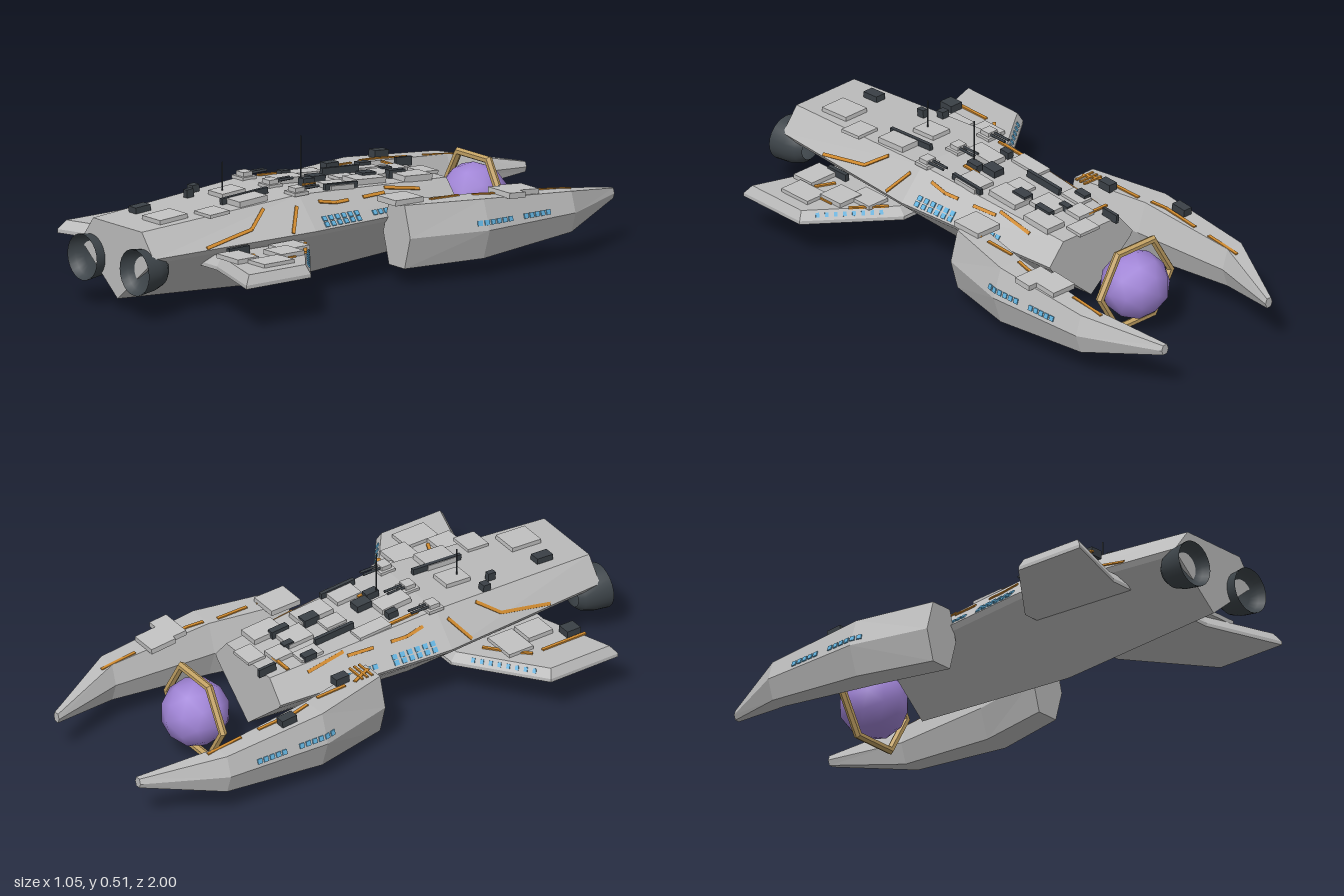
import * as THREE from 'three';

const mat = (name, color) => Object.assign(new THREE.MeshStandardMaterial({ color }), { name });
const V = (x, y, z) => new THREE.Vector3(x, y, z);

// Flat-shaded loft through rings of points, capped at both ends
function loft(rings, flip) {
  const pos = [];
  const tri = (a, b, c) => { for (const p of flip ? [a, c, b] : [a, b, c]) pos.push(flip ? -p.x : p.x, p.y, p.z); };
  const n = rings[0].length;
  rings.forEach((r, k) => {
    const next = rings[k + 1];
    const mid = r.reduce((s, p) => s.add(p), V(0, 0, 0)).divideScalar(n);
    for (let i = 0; i < n; i++) {
      const j = (i + 1) % n;
      if (next) { tri(r[i], next[i], next[j]); tri(r[i], next[j], r[j]); }
      if (k === 0) tri(mid, r[i], r[j]);
      if (!next) tri(mid, r[j], r[i]);
    }
  });
  const g = new THREE.BufferGeometry();
  g.setAttribute('position', new THREE.Float32BufferAttribute(pos, 3));
  g.computeVertexNormals();
  return g;
}

// Point and normal on strip i of a loft: u is the ring coordinate, t runs across the strip
function on(rings, i, u, t, s = 1) {
  const k = Math.max(0, Math.min(rings.length - 2, Math.floor(u))), f = u - k;
  const j = (i + 1) % rings[0].length;
  const a = rings[k][i].clone().lerp(rings[k + 1][i], f);
  const b = rings[k][j].clone().lerp(rings[k + 1][j], f);
  const along = rings[k + 1][i].clone().sub(rings[k][i]);
  const n = along.cross(b.clone().sub(a)).normalize();
  const p = a.lerp(b, t);
  p.x *= s; n.x *= s;
  return { p, n };
}
// Ring coordinate for a given z
function ringAt(rings, z) {
  for (let k = 0; k < rings.length - 1; k++) {
    const a = rings[k][0].z, b = rings[k + 1][0].z;
    if (z >= b || k === rings.length - 2) return k + (a - z) / (a - b);
  }
}

export function createModel() {
  const hullGrey = mat('hullGrey', 0xbcbcbc), plateGrey = mat('plateGrey', 0xc2c2c2);
  const dark = mat('darkMetal', 0x3a4046), orange = mat('orangePaint', 0xd08a2e);
  const blue = mat('windowBlue', 0x62b2de), gold = mat('ringGold', 0xc3a264);
  const purple = mat('orbPurple', 0xa084d6);
  const nozzleMat = mat('nozzleMetal', 0x3d4449);
  nozzleMat.side = THREE.DoubleSide;

  const model = new THREE.Group();
  const add = (name, geo, m, x = 0, y = 0, z = 0) => {
    const mesh = new THREE.Mesh(geo, m);
    mesh.name = name;
    mesh.position.set(x, y, z);
    model.add(mesh);
    return mesh;
  };
  // Box lying on a surface from a to b, with the surface normal n
  const slab = (name, a, b, n, w, h, m) => {
    const dir = b.clone().sub(a), len = dir.length();
    dir.normalize();
    const side = n.clone().cross(dir).normalize(), up = dir.clone().cross(side);
    const mesh = add(name, new THREE.BoxGeometry(w, h, len), m);
    mesh.quaternion.setFromRotationMatrix(new THREE.Matrix4().makeBasis(side, up, dir));
    mesh.position.copy(a).add(b).multiplyScalar(0.5).addScaledVector(up, h * 0.4);
    return mesh;
  };
  // Painted line over [z, t] points on a strip
  const stripe = (rings, i, pts, s) => {
    for (let k = 0; k + 1 < pts.length; k++) {
      const [a, b] = [pts[k], pts[k + 1]].map(([z, t]) => on(rings, i, ringAt(rings, z), t, s));
      slab('stripe', a.p, b.p, a.n, 0.012, 0.005, orange);
    }
  };
  // Row of small windows on a strip
  const windows = (rings, i, z0, z1, t, s, count = 6) => {
    for (let k = 0; k < count; k++) {
      const z = z0 + (z1 - z0) * k / (count - 1);
      const [a, b] = [z + 0.009, z - 0.009].map(q => on(rings, i, ringAt(rings, q), t, s));
      slab('window', a.p, b.p, a.n, 0.018, 0.005, blue);
    }
  };
  // Box at x, z on the top strip
  const topBox = (name, rings, i, [x, z, w, d], h, m) => {
    const [a, b] = [z - d / 2, z + d / 2].map(q => on(rings, i, ringAt(rings, q), 0.5));
    a.p.x = b.p.x = x;
    return slab(name, a.p, b.p, a.n, w, h, m);
  };

  // Hull
  const hull = [
    [0.96, 0.2, 0.135, 0.22, 0.305, 0.045],
    [0.3, 0.262, 0.165, 0.233, 0.345, 0.003],
    [-0.37, 0.195, 0.13, 0.222, 0.3, 0.045],
  ].map(([z, w, t, sh, top, bot]) => [
    V(0, bot, z), V(w - 0.012, sh - 0.018, z), V(w, sh, z), V(t, top, z),
    V(-t, top, z), V(-w, sh, z), V(-w + 0.012, sh - 0.018, z)]);
  add('hull', loft(hull), hullGrey);

  // Hull plates and dark fittings: x, z, width, depth
  [[0.02, -0.35, 0.09, 0.07], [-0.04, -0.27, 0.07, 0.07], [0.1, -0.24, 0.08, 0.12], [-0.1, -0.19, 0.06, 0.09],
    [0.01, -0.17, 0.09, 0.1], [0.08, -0.05, 0.08, 0.13], [-0.12, 0.06, 0.06, 0.13], [0.11, 0.1, 0.09, 0.1],
    [-0.04, 0.2, 0.07, 0.12], [0.0, -0.02, 0.06, 0.08], [-0.03, 0.46, 0.08, 0.1], [0.1, 0.48, 0.09, 0.12],
    [0.13, 0.65, 0.09, 0.085], [0.06, 0.8, 0.1, 0.12]]
    .forEach((b, k) => topBox('hullPlate', hull, 3, b, 0.012 + (k % 3) * 0.005, plateGrey));
  [[-0.08, 0.8, 0.04, 0.065], [-0.14, 0.52, 0.03, 0.03], [-0.095, 0.575, 0.02, 0.03], [0.065, 0.46, 0.014, 0.2],
    [-0.07, -0.06, 0.014, 0.16], [-0.1, -0.36, 0.012, 0.07], [0.14, 0.1, 0.014, 0.14], [0.01, 0.11, 0.045, 0.06],
    [0.05, -0.08, 0.04, 0.06], [-0.12, -0.2, 0.03, 0.05], [0.04, 0.17, 0.03, 0.05], [0.06, -0.2, 0.025, 0.07],
    [-0.02, -0.22, 0.025, 0.04], [-0.1, 0.16, 0.025, 0.04]]
    .forEach((b, k) => topBox('hullFitting', hull, 3, b, 0.024 + (k % 3) * 0.004, dark));
  for (const pts of [[[-0.14, -0.3], [-0.05, -0.3]], [[-0.14, 0.1], [-0.14, 0.24]], [[0.06, 0.13], [0.06, 0.2]]])
    slab('topStripe', V(pts[0][0], 0.33 + pts[0][1] * 0.06, pts[0][1]), V(pts[1][0], 0.33 + pts[1][1] * 0.06, pts[1][1]),
      V(0, 1, 0), 0.012, 0.006, orange);

  // Twin-barrel turrets
  for (const x of [-0.145, 0, 0.145]) {
    add('turretBase', new THREE.BoxGeometry(0.062, 0.012, 0.06), plateGrey, x, 0.348, 0.295);
    add('turretHead', new THREE.BoxGeometry(0.042, 0.016, 0.04), plateGrey, x, 0.361, 0.295);
    for (const d of [-0.009, 0.009])
      add('turretBarrel', new THREE.CylinderGeometry(0.005, 0.005, 0.08, 6).rotateX(Math.PI / 2), dark, x + d, 0.36, 0.245);
  }
  // Antennas
  for (const [x, z, top] of [[0.028, 0.185, 0.51], [-0.03, 0.48, 0.45]])
    add('antenna', new THREE.CylinderGeometry(0.003, 0.003, top - 0.32, 6), dark, x, (top + 0.32) / 2, z);

  // Engine nozzles: flared bell with a smooth bowl inside
  const bell = [[0.04, 0.88], [0.06, 0.9], [0.074, 0.94], [0.082, 1]].map(([r, z]) => new THREE.Vector2(r, z));
  const bowl = [[0.081, 1], [0.07, 0.975], [0.045, 0.955], [0.001, 0.945]].map(([r, z]) => new THREE.Vector2(r, z));

  for (const s of [1, -1]) {
    add('engineBell', new THREE.LatheGeometry(bell, 24).rotateX(Math.PI / 2), nozzleMat, s * 0.145, 0.17, 0);
    add('engineBowl', new THREE.LatheGeometry(bowl, 24).rotateX(Math.PI / 2), nozzleMat, s * 0.145, 0.17, 0);

    // Hull flank paint and windows
    stripe(hull, 2, [[0.74, 0.06], [0.62, 0.25], [0.54, 0.36], [0.46, 0.85]], s);
    stripe(hull, 2, [[0.39, 0.05], [0.33, 0.72]], s);
    stripe(hull, 2, [[0.23, 0.75], [0.16, 0.66], [0.1, 0.68]], s);
    stripe(hull, 2, [[0.03, 0.7], [-0.07, 0.75]], s);
    stripe(hull, 2, [[-0.08, 0.9], [-0.23, 0.72]], s);
    for (const t of [0.12, 0.28]) windows(hull, 2, 0.24, 0.09, t, s);
    windows(hull, 2, 0.01, -0.12, 0.2, s);

    // Curved horn
    const horn = [
      [-0.04, 0.275, 0.075, 0.112], [-0.33, 0.34, 0.082, 0.105],
      [-0.72, 0.345, 0.056, 0.072], [-1, 0.244, 0.016, 0.018],
    ].map(([z, c, w, h]) => [[-0.58, -1], [0.58, -1], [1, 0], [0.58, 1], [-0.58, 1], [-1, 0]]
      .map(([a, b]) => V(c + a * w, 0.173 + b * h, z)));
    add('horn', loft(horn, s < 0), hullGrey);
    windows(horn, 2, -0.3, -0.43, 0.25, s);
    windows(horn, 2, -0.5, -0.6, 0.25, s, 5);
    stripe(horn, 3, [[-0.76, 0.7], [-0.62, 0.85]], s);
    stripe(horn, 3, [[-0.55, 0.8], [-0.4, 0.7], [-0.34, 0.8]], s);
    stripe(horn, 3, [[-0.29, 0.85], [-0.17, 0.6]], s);
    stripe(horn, 3, [[-0.13, 0.5], [-0.05, 0.7]], s);
    if (s > 0) {
      for (const b of [[0.325, -0.53, 0.1, 0.1], [0.35, -0.46, 0.12, 0.07], [0.255, -0.07, 0.105, 0.12]])
        topBox('hornPlate', horn, 3, b, 0.02, plateGrey);
    } else {
      for (const b of [[-0.35, -0.45, 0.035, 0.06], [-0.265, -0.17, 0.035, 0.055]])
        topBox('hornFitting', horn, 3, b, 0.03, dark);
      for (const z of [-0.1, -0.08, -0.06])
        slab('hornStripe', V(-0.3, 0.284, z), V(-0.22, 0.284, z), V(0, 1, 0), 0.008, 0.006, orange);
    }

    // Swept wing with bevelled rim
    const outline = [[0.24, 0.715], [0.525, 0.81], [0.525, 0.53], [0.24, 0.31]];
    const inset = [[0.24, 0.695], [0.508, 0.785], [0.508, 0.54], [0.24, 0.333]];
    const wing = [[0.2, inset], [0.168, outline], [0.155, outline]].map(([y, o]) => o.map(([x, z]) => V(x, y, z)));
    wing.forEach(r => { r.push(V(0.15, r[0].y, r[3].z), V(0.15, r[0].y, r[0].z)); });
    add('wing', loft(wing, s < 0), hullGrey);
    for (let k = 0; k < 8; k++) {
      const [a, b] = [0, 0.035].map(d => on(wing, 2, 0.5, 0.15 + k * 0.09 + d, s));
      slab('wingWindow', a.p, b.p, a.n, 0.016, 0.005, blue);
    }
    const paint = s > 0
      ? [[[0.27, 0.355], [0.38, 0.44]], [[0.4, 0.5], [0.4, 0.58]], [[0.29, 0.6], [0.36, 0.63]]]
      : [[[0.27, 0.42], [0.33, 0.47]], [[0.33, 0.47], [0.4, 0.54]], [[0.4, 0.58], [0.4, 0.76]]];
    for (const [a, b] of paint)
      slab('wingStripe', V(s * a[0], 0.2, a[1]), V(s * b[0], 0.2, b[1]), V(0, 1, 0), 0.012, 0.006, orange);
    const plates = s > 0
      ? [[0.29, 0.44, 0.09, 0.11], [0.35, 0.51, 0.1, 0.1], [0.42, 0.62, 0.09, 0.13], [0.31, 0.68, 0.12, 0.09]]
      : [[0.31, 0.51, 0.13, 0.1], [0.29, 0.62, 0.09, 0.1]];
    plates.forEach(([x, z, w, d], k) =>
      add('wingPlate', new THREE.BoxGeometry(w, 0.016, d), plateGrey, s * x, 0.205 + (k % 2) * 0.004, z));
    const [fx, fz, fw, fd] = s > 0 ? [0.25, 0.63, 0.016, 0.09] : [-0.365, 0.72, 0.05, 0.055];
    add('wingFitting', new THREE.BoxGeometry(fw, 0.03, fd), dark, fx, 0.211, fz);
  }

  // Orb floating between the horns, inside a hexagonal ring
  add('orb', new THREE.IcosahedronGeometry(0.122, 1), purple, 0, 0.175, -0.59);
  const ring = new THREE.TorusGeometry(0.165, 0.015, 6, 6).toNonIndexed();
  ring.computeVertexNormals();
  add('orbRing', ring, gold, 0, 0.175, -0.59);

  return model;
}
